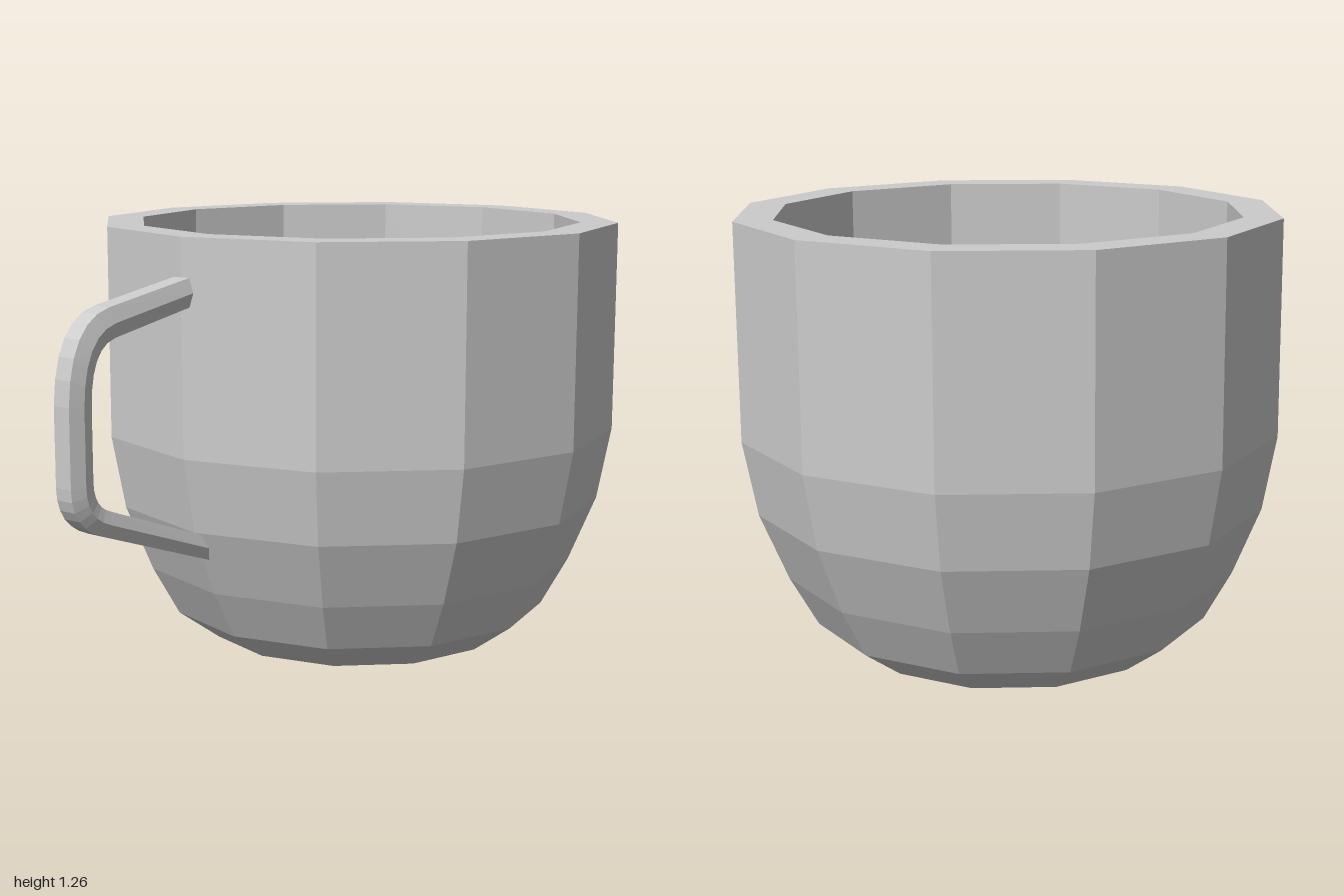
import * as THREE from 'three';

const material = new THREE.MeshStandardMaterial({ color: 0xcccccc, flatShading: true, side: THREE.DoubleSide });
const v = (a, b) => new THREE.Vector2(a, b);

// Twelve-sided cup: outer wall, flat rim, inner wall and floor in one profile
function makeCup() {
  const profile = [
    [0, 0], [0.45, 0], [0.575, 0.09], [0.655, 0.235], [0.735, 0.43], [0.775, 0.645], [0.775, 1.26],
    [0.665, 1.26], [0.665, 0.655], [0.63, 0.45], [0.56, 0.27], [0.49, 0.13], [0, 0.13],
  ].map(([r, y]) => v(r, y));
  const cup = new THREE.Mesh(new THREE.LatheGeometry(profile, 12), material);
  cup.name = 'cup';
  cup.position.z = -0.225;
  return cup;
}

// Points (z, y) along one edge of the handle: three straights joined by two rounded corners
function handleEdge([start, a, cornerA, b, c, cornerB, d, end]) {
  const bend = (p, q, r) => new THREE.QuadraticBezierCurve(v(...p), v(...q), v(...r)).getPoints(6);
  return [v(...start), ...bend(a, cornerA, b), ...bend(c, cornerB, d), v(...end)];
}

// Six-sided handle swept between its outer and inner edges
function makeHandle() {
  const outer = handleEdge([
    [0.548, 1.15], [0.85, 1.1], [0.99, 1.075], [1, 0.856],
    [1, 0.64], [1, 0.535], [0.89, 0.497], [0.48, 0.35],
  ]);
  const inner = handleEdge([
    [0.548, 1.07], [0.83, 1.018], [0.92, 1], [0.92, 0.84],
    [0.92, 0.65], [0.92, 0.58], [0.86, 0.56], [0.515, 0.43],
  ]);
  // Each corner: half width, and blend from outer (0) to inner (1) edge
  const section = [[0.028, 0], [0.043, 0.5], [0.028, 1], [-0.028, 1], [-0.043, 0.5], [-0.028, 0]];
  const n = section.length;
  const positions = [];
  const index = [];
  outer.forEach((o, i) => {
    for (const [x, t] of section) {
      const p = o.clone().lerp(inner[i], t);
      positions.push(x, p.y, p.x);
    }
    if (i === 0) return;
    for (let k = 0; k < n; k++) {
      const a = (i - 1) * n + k;
      const b = (i - 1) * n + (k + 1) % n;
      index.push(a, a + n, b, b, a + n, b + n);
    }
  });
  // End caps
  const last = (outer.length - 1) * n;
  for (let k = 1; k < n - 1; k++) {
    index.push(0, k, k + 1, last, last + k + 1, last + k);
  }
  const geometry = new THREE.BufferGeometry();
  geometry.setAttribute('position', new THREE.Float32BufferAttribute(positions, 3));
  geometry.setIndex(index);
  geometry.computeVertexNormals();
  const handle = new THREE.Mesh(geometry, material);
  handle.name = 'handle';
  return handle;
}

export function createModel() {
  const mug = new THREE.Group();
  mug.name = 'mug';
  mug.add(makeCup(), makeHandle());
  return mug;
}
